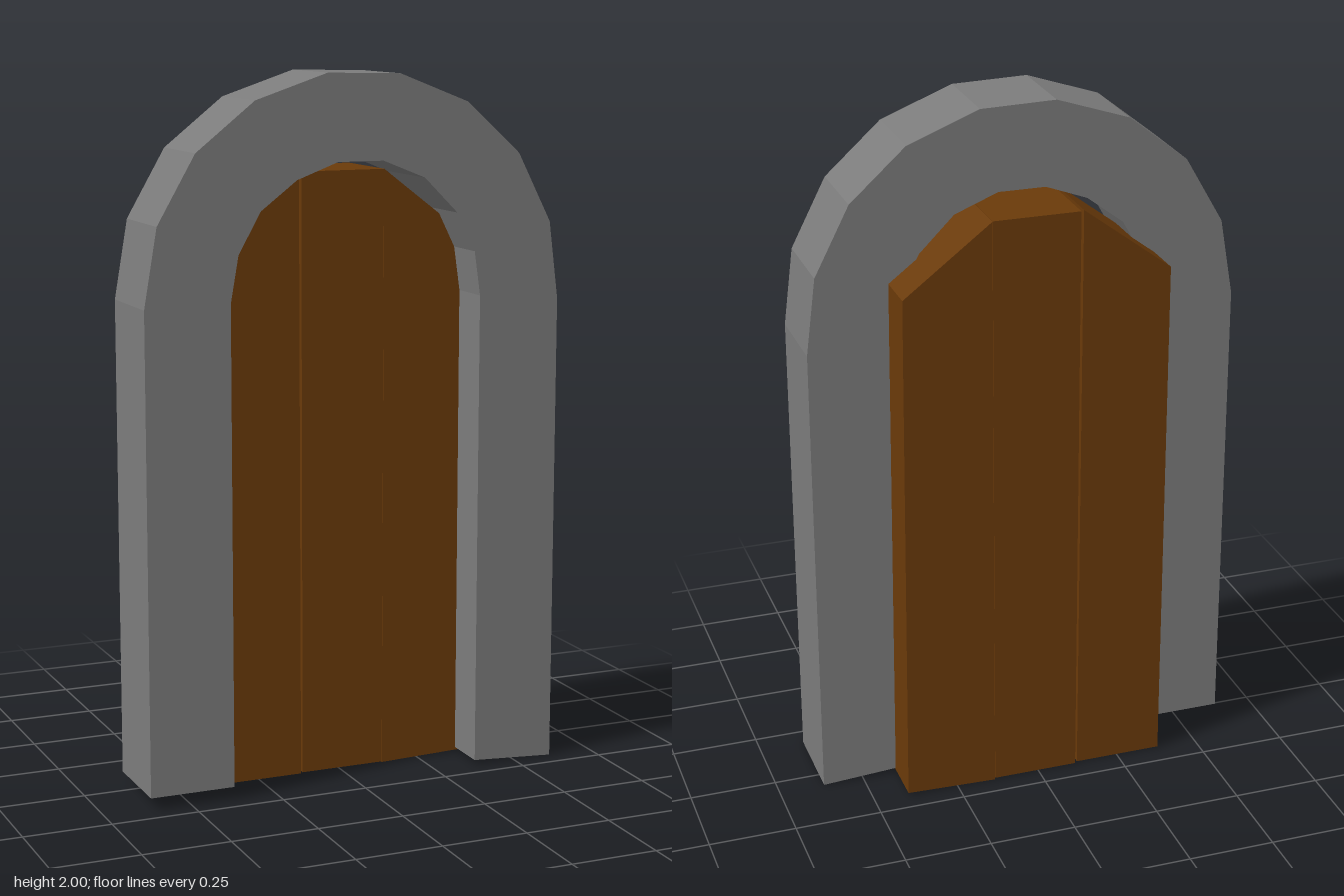
import * as THREE from 'three';

const stone = new THREE.MeshStandardMaterial({ color: 0x7b7b7b, flatShading: true });
const wood = new THREE.MeshStandardMaterial({ color: 0x6a3a09, flatShading: true });

// Extrudes an outline in the xy plane from zBack to zFront
function slab(name, points, zBack, zFront, material) {
  const shape = new THREE.Shape(points.map(([x, y]) => new THREE.Vector2(x, y)));
  const geometry = new THREE.ExtrudeGeometry(shape, { depth: zFront - zBack, bevelEnabled: false });
  geometry.translate(0, 0, zBack);
  const mesh = new THREE.Mesh(geometry, material);
  mesh.name = name;
  return mesh;
}

export function createModel() {
  const model = new THREE.Group();
  model.name = 'archedDoor';

  // Stone arch: hand-cut, slightly uneven outer and inner edges
  const outer = [
    [-0.618, 0.035], [-0.618, 1.385], [-0.58, 1.605], [-0.47, 1.795], [-0.3, 1.93], [-0.09, 2],
    [0.125, 1.995], [0.33, 1.915], [0.49, 1.77], [0.59, 1.575], [0.618, 1.355], [0.618, 0],
  ];
  const inner = [
    [0.373, 0.015], [0.373, 1.375], [0.355, 1.5], [0.3, 1.61], [0.2, 1.71], [0.075, 1.76],
    [-0.06, 1.76], [-0.18, 1.715], [-0.285, 1.635], [-0.35, 1.52], [-0.373, 1.39], [-0.373, 0.035],
  ];
  model.add(slab('stoneArch', [...outer, ...inner], -0.058, 0.19, stone));

  // Door planks: outline from the foot, counter-clockwise, and back z
  const planks = [
    ['rightPlank', [[-0.38, 0.003], [-0.123, 0.003], [-0.125, 1.727], [-0.38, 1.535]], -0.181],
    ['middlePlank', [[-0.115, 0.003], [0.134, 0.003], [0.134, 1.727], [-0.115, 1.727]], -0.188],
    ['leftPlank', [[0.136, 0], [0.4, 0.008], [0.387, 1.535], [0.136, 1.727]], -0.191],
  ];
  const door = new THREE.Group();
  door.name = 'door';
  for (const [name, outline, zBack] of planks) {
    door.add(slab(name, outline, zBack, zBack + 0.25, wood));
  }
  model.add(door);

  return model;
}
